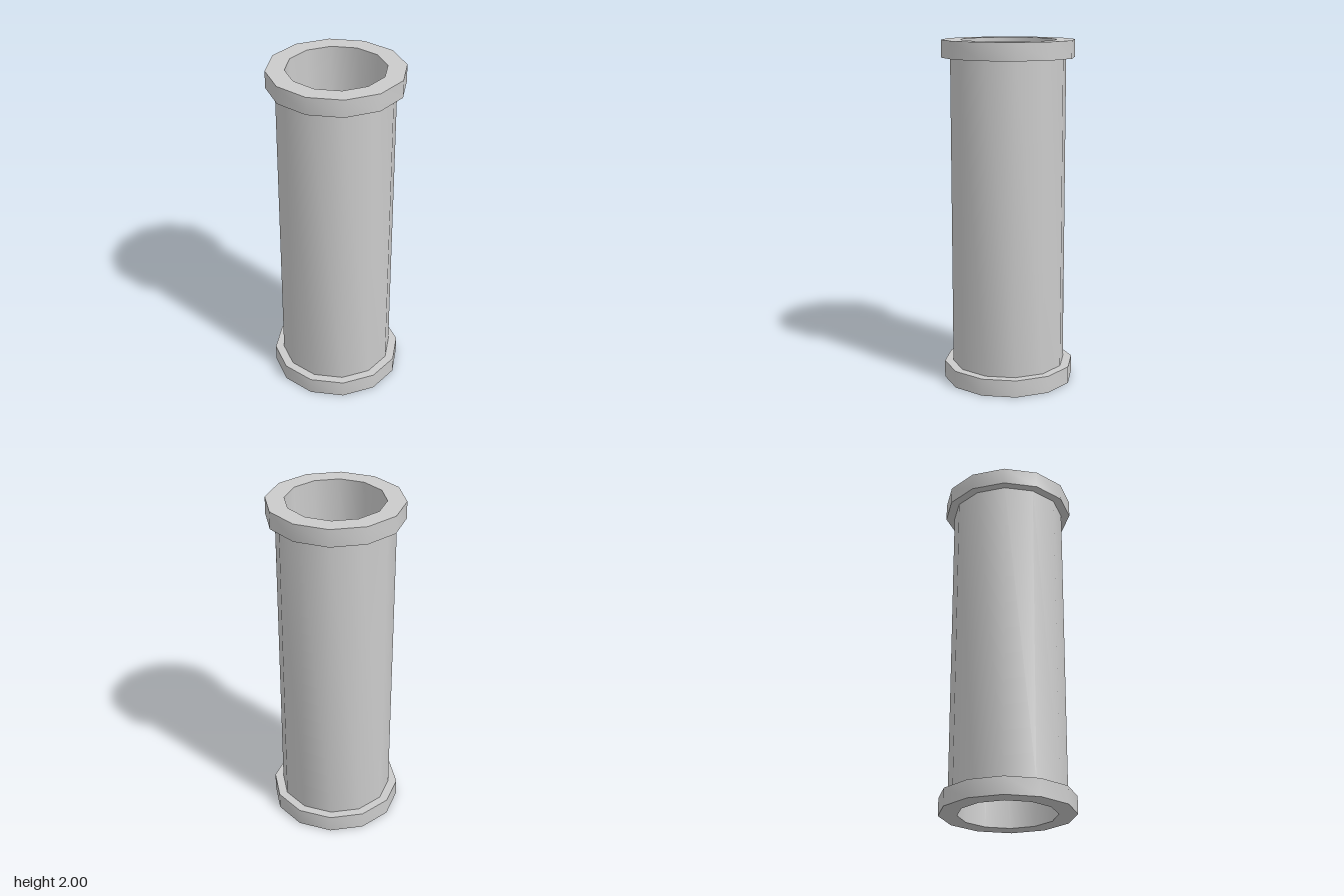
import * as THREE from 'three';
import { toCreasedNormals } from 'three/addons/utils/BufferGeometryUtils.js';

const SIDES = 12;
const BORE = 0.278, PIPE = 0.332, FLANGE = 0.383; // radii
const HEIGHT = 2, RIM = 0.1;

// Twelve-sided turned part: smooth around, sharp at profile corners
function turned(name, profile, material) {
  const points = profile.map(([r, y]) => new THREE.Vector2(r, y));
  const geometry = toCreasedNormals(new THREE.LatheGeometry(points, SIDES), Math.PI / 4);
  const mesh = new THREE.Mesh(geometry, material);
  mesh.name = name;
  return mesh;
}

export function createModel() {
  const group = new THREE.Group();
  group.name = 'flangedPipe';
  const material = new THREE.MeshStandardMaterial({ color: 0xcccccc });
  const top = HEIGHT - RIM;

  // Pipe wall between the flanges, and the bore running right through
  group.add(turned('pipeWall', [[PIPE, RIM], [PIPE, top]], material));
  group.add(turned('pipeBore', [[BORE, HEIGHT], [BORE, 0]], material));

  // End flanges, each with its end face, rim and shoulder
  group.add(turned('bottomFlange', [[BORE, 0], [FLANGE, 0], [FLANGE, RIM], [PIPE, RIM]], material));
  group.add(turned('topFlange', [[PIPE, top], [FLANGE, top], [FLANGE, HEIGHT], [BORE, HEIGHT]], material));

  return group;
}
